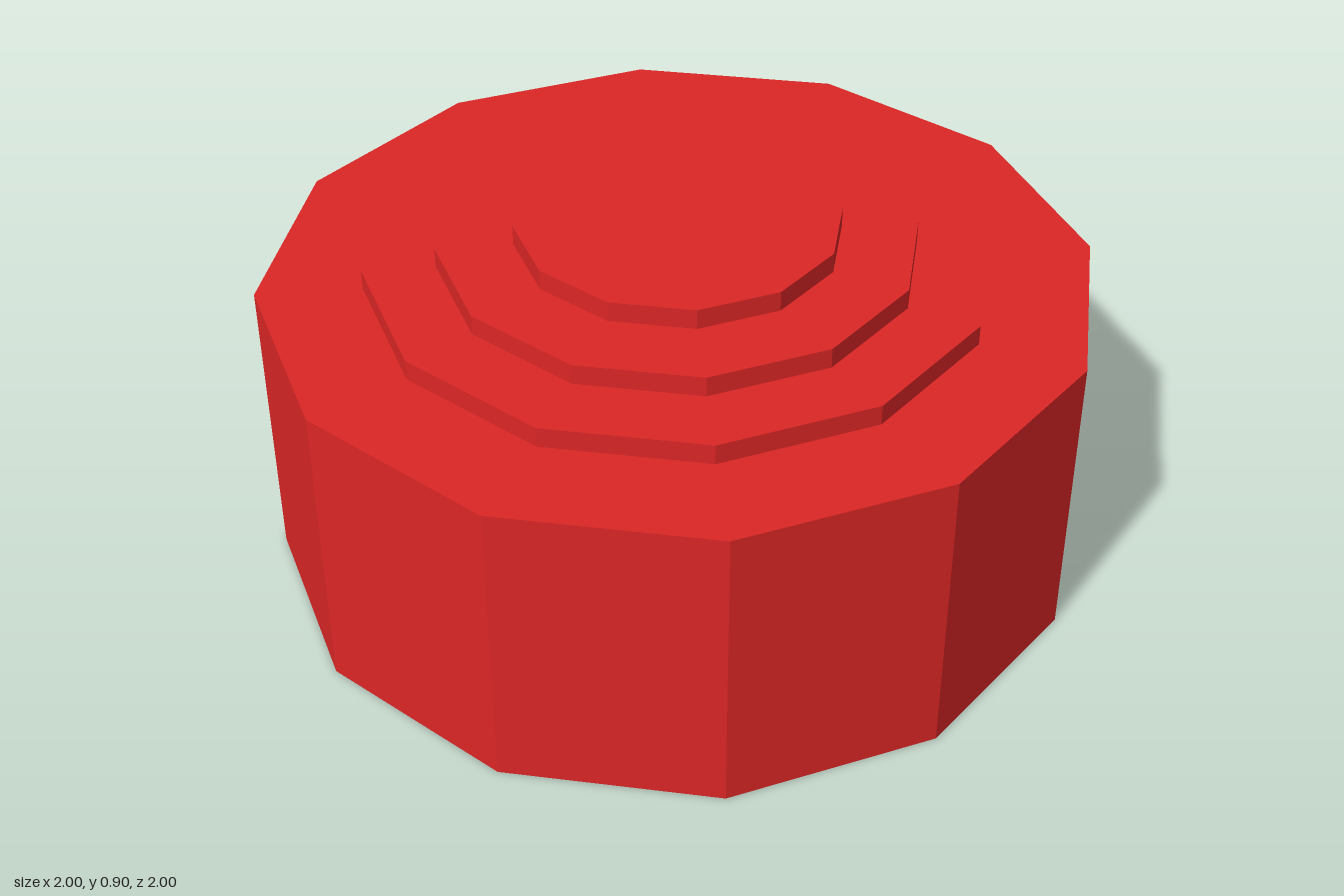
import * as THREE from 'three';

export function createModel() {
  const model = new THREE.Group();
  model.name = 'steppedButton';

  const red = new THREE.MeshStandardMaterial({ color: 0xdc2626, flatShading: true });
  red.name = 'red';

  // Twelve-sided tiers stacked from the ground up: name, radius, height
  const tiers = [
    ['base', 1, 0.746],
    ['lowerStep', 0.747, 0.05],
    ['middleStep', 0.573, 0.05],
    ['topStep', 0.389, 0.05],
  ];

  let y = 0;
  for (const [name, radius, height] of tiers) {
    const tier = new THREE.Mesh(new THREE.CylinderGeometry(radius, radius, height, 12), red);
    tier.name = name;
    tier.position.y = y + height / 2;
    model.add(tier);
    y += height;
  }

  return model;
}
